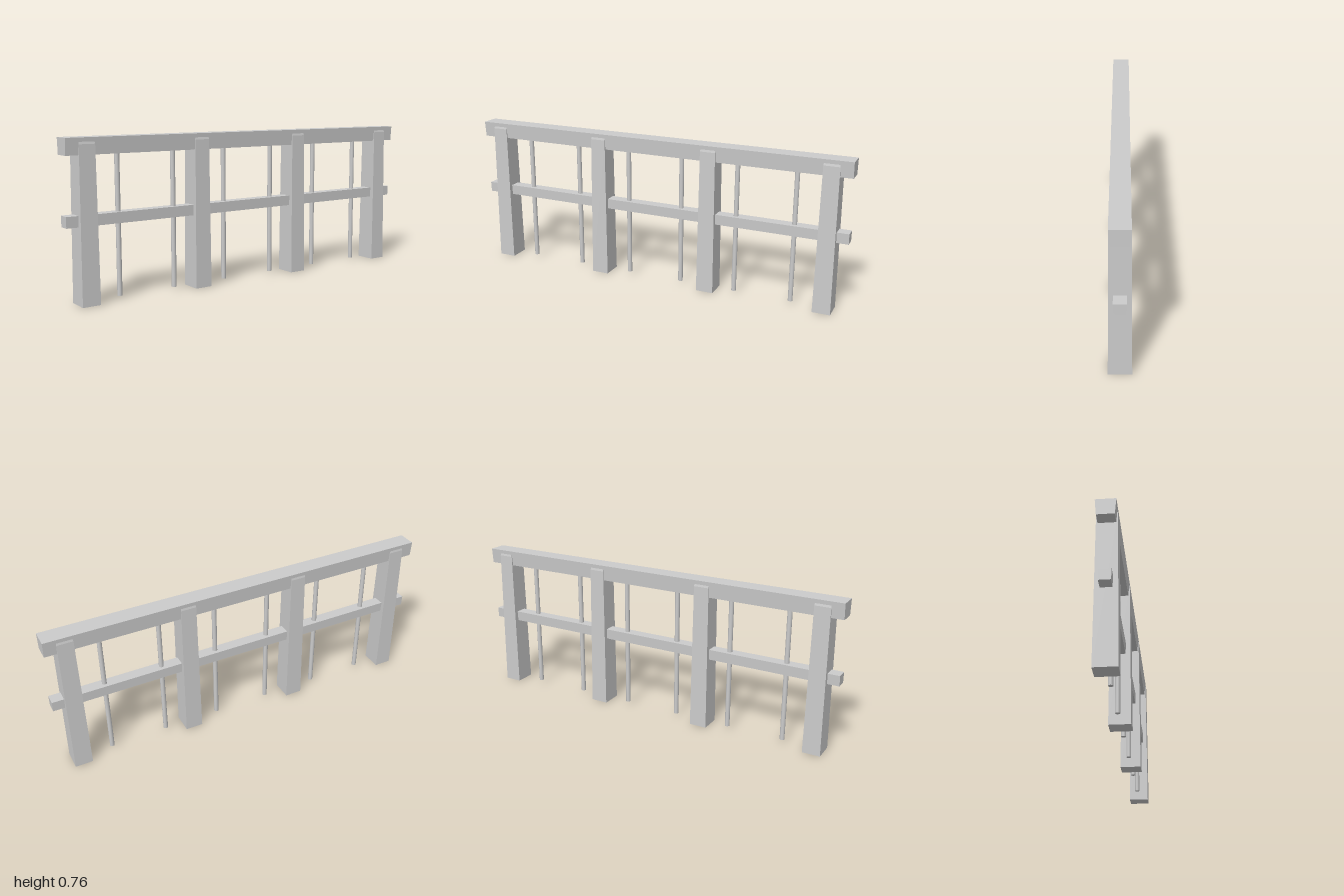
import * as THREE from 'three';

const material = new THREE.MeshStandardMaterial({ color: 0xcccccc, flatShading: true });
const smooth = new THREE.MeshStandardMaterial({ color: 0xcccccc });

// Box stacked from levels [y, halfWidthX, halfDepthZ], bottom to top
function taperedBox(levels) {
  const n = levels.length - 1;
  const geo = new THREE.BoxGeometry(2, 1, 2, 1, n, 1);
  const p = geo.attributes.position;
  for (let i = 0; i < p.count; i++) {
    const [y, w, d] = levels[Math.round((p.getY(i) + 0.5) * n)];
    p.setXYZ(i, p.getX(i) * w, y, p.getZ(i) * d);
  }
  geo.computeVertexNormals();
  return geo;
}

export function createModel() {
  const group = new THREE.Group();
  const add = (name, geo, mat, x = 0, y = 0) => {
    const mesh = new THREE.Mesh(geo, mat);
    mesh.name = name;
    mesh.position.set(x, y, 0);
    group.add(mesh);
  };

  // Long rails, slightly narrower underneath
  add('topRail', taperedBox([[0.682, 1, 0.04], [0.76, 1, 0.046]]), material);
  add('middleRail', taperedBox([[0.361, 1, 0.0265], [0.413, 1, 0.029]]), material);

  // Square posts, tapering upward with a small chamfer into the top rail
  const postGeo = taperedBox([[0, 0.0445, 0.053], [0.73, 0.039, 0.047], [0.745, 0.037, 0.0435]]);
  for (const x of [-0.9, -0.3, 0.3, 0.9]) add('post', postGeo, material, x);

  // Thin round balusters, two per bay
  const bottom = 0.015, top = 0.7;
  const balusterGeo = new THREE.CylinderGeometry(0.012, 0.012, top - bottom, 12);
  for (const bay of [-0.587, 0, 0.587])
    for (const side of [-1, 1])
      add('baluster', balusterGeo, smooth, bay + side * 0.147, (top + bottom) / 2);

  return group;
}
